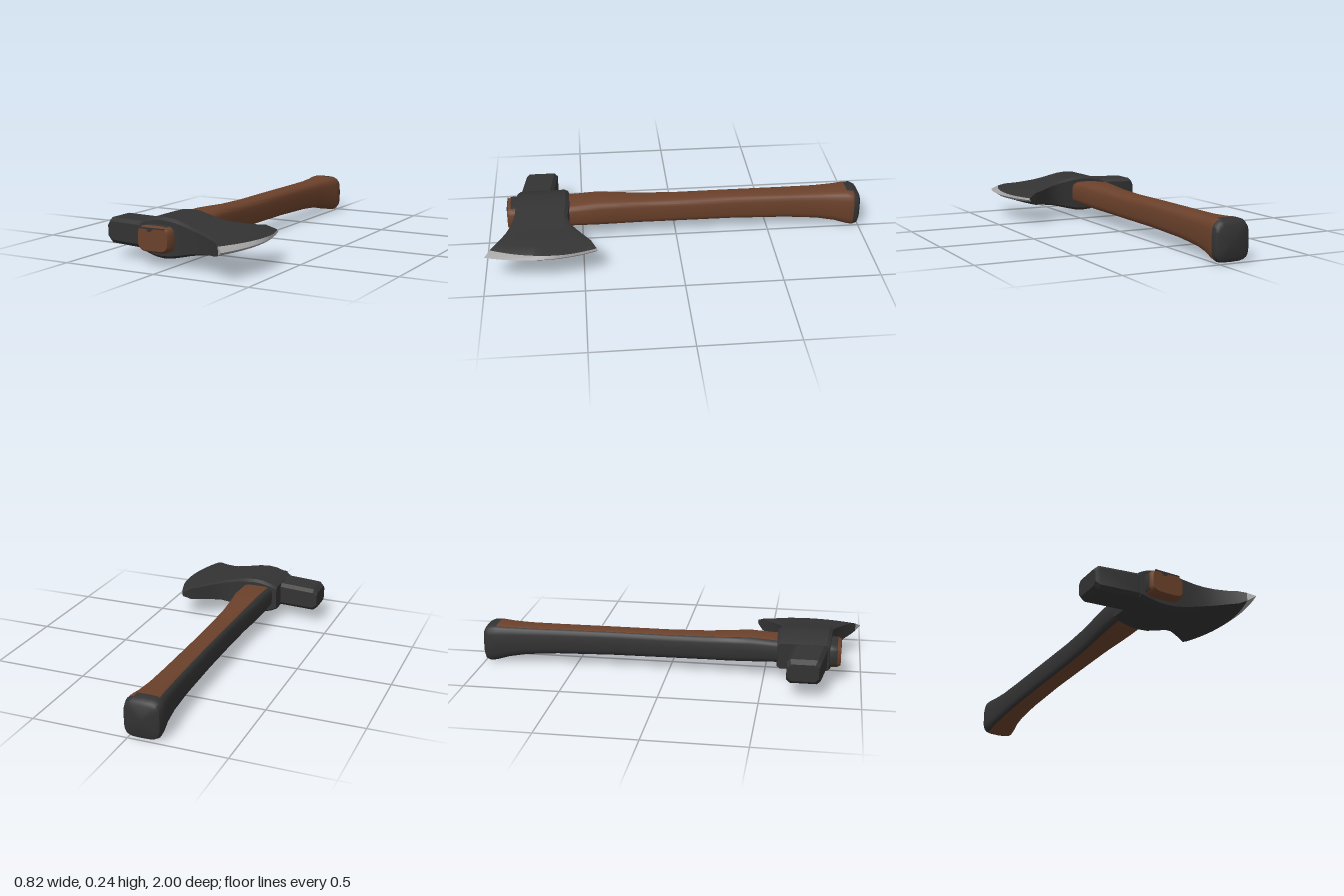
import * as THREE from 'three';
import { toCreasedNormals } from 'three/addons/utils/BufferGeometryUtils.js';

const wood = new THREE.MeshStandardMaterial({ color: 0x6b412b });
wood.name = 'brown wood';
const iron = new THREE.MeshStandardMaterial({ color: 0x333333 });
iron.name = 'dark iron';
const steel = new THREE.MeshStandardMaterial({ color: 0xa3a3a3 });
steel.name = 'bare steel';

// Skins closed rings of points; pick(row, column) gives the material of each face.
// Row -1 is the start cap, the last row is the end cap.
function loft(name, rings, materials, pick, crease, endCap = true) {
  const n = rings[0].length;
  const pts = rings.flat();
  const lists = materials.map(() => []);
  for (let i = 0; i < rings.length - 1; i++) {
    for (let j = 0; j < n; j++) {
      const a = i * n + j, b = i * n + ((j + 1) % n);
      lists[pick(i, j)].push(a, b, b + n, a, b + n, a + n);
    }
  }
  const cap = (row, start) => {
    const centre = new THREE.Vector3();
    rings[row].forEach((p) => centre.addScaledVector(p, 1 / n));
    const c = pts.push(centre) - 1;
    for (let j = 0; j < n; j++) {
      const a = row * n + j, b = row * n + ((j + 1) % n);
      lists[pick(start ? -1 : row, j)].push(c, start ? b : a, start ? a : b);
    }
  };
  cap(0, true);
  if (endCap) cap(rings.length - 1, false);

  const geo = new THREE.BufferGeometry().setFromPoints(pts);
  geo.setIndex(lists.flat());
  let offset = 0;
  lists.forEach((l, m) => {
    geo.addGroup(offset, l.length, m);
    offset += l.length;
  });
  const mesh = new THREE.Mesh(toCreasedNormals(geo, crease), materials);
  mesh.name = name;
  return mesh;
}

// Handle: rounded rectangles along z, dark on its -x side and at the butt
function makeHandle() {
  const SIDES = 24;
  // z, x min, x max, y min, y max
  const stations = [
    [-1.0, -0.145, 0.005, 0.03, 0.18],
    [-0.99, -0.16, 0.02, 0.01, 0.195],
    [-0.965, -0.167, 0.026, 0.002, 0.207],
    [-0.93, -0.164, 0.021, 0.008, 0.209],
    [-0.87, -0.154, 0.01, 0.026, 0.204],
    [-0.77, -0.145, 0, 0.043, 0.2],
    [-0.6, -0.14, -0.006, 0.056, 0.2],
    [-0.3, -0.137, -0.01, 0.064, 0.201],
    [0, -0.137, -0.008, 0.066, 0.2],
    [0.2, -0.143, -0.003, 0.069, 0.204],
    [0.32, -0.153, 0.006, 0.071, 0.211],
    [0.42, -0.16, 0.016, 0.075, 0.216],
    [0.55, -0.16, 0.02, 0.08, 0.207],
    [0.7, -0.166, 0.018, 0.075, 0.203],
    [0.84, -0.17, 0.018, 0.071, 0.203],
    [0.875, -0.169, 0.017, 0.072, 0.202],
    [0.893, -0.158, 0.006, 0.082, 0.193],
  ];
  const soft = (c) => Math.sign(c) * Math.sqrt(Math.abs(c));
  const rings = stations.map(([z, x0, x1, y0, y1]) =>
    Array.from({ length: SIDES }, (_, j) => {
      const a = (j / SIDES) * Math.PI * 2;
      return new THREE.Vector3(
        (x0 + x1) / 2 + ((x1 - x0) / 2) * soft(Math.cos(a)),
        (y0 + y1) / 2 + ((y1 - y0) / 2) * soft(Math.sin(a)), z);
    }));
  const pick = (i, j) => {
    if (i < 2) return 1; // butt
    if (i >= 14) return i === 14 && j >= 4 && j < 14 ? 1 : 0; // tip, dark on top
    if (i === 2 && j >= 5 && j < 8) return 1; // slanted butt edge
    return j >= 8 && j < 16 ? 1 : 0;
  };
  return loft('handle', rings, [wood, iron], pick, 0.7);
}

// Head: eye block swelling around the handle, flaring into the blade
function makeBlade() {
  const N = 16, MID = 0.138;
  // x, z min, z max, half thickness
  const stations = [
    [-0.185, 0.572, 0.833, 0.066],
    [-0.15, 0.567, 0.839, 0.082],
    [-0.1, 0.565, 0.842, 0.096],
    [-0.055, 0.565, 0.844, 0.1],
    [0, 0.565, 0.845, 0.095],
    [0.05, 0.572, 0.847, 0.084],
    [0.1, 0.577, 0.855, 0.071],
    [0.15, 0.565, 0.868, 0.06],
    [0.2, 0.532, 0.888, 0.051],
    [0.25, 0.495, 0.915, 0.043],
  ];
  const bow = (v) => 1 - (2 * v - 1) ** 2;
  const edgeX = (v) => 0.345 + 0.015 * v + 0.055 * bow(v);
  // f(v, side) -> [x, z, half thickness], side +1 on top and -1 below
  const ring = (f) => {
    const out = [];
    for (const side of [1, -1]) {
      for (let k = 0; k <= N; k++) {
        const v = side > 0 ? k / N : 1 - k / N;
        const [x, z, h] = f(v, side);
        out.push(new THREE.Vector3(x, MID + side * h, z));
      }
    }
    return out;
  };
  const lerp = THREE.MathUtils.lerp;
  const rings = stations.map(([x, z0, z1, h]) =>
    ring((v) => [x, lerp(z0, z1, v), h * (v === 0 || v === 1 ? 0.86 : 1)]));
  rings.push(ring((v) => [0.295 + 0.03 * bow(v), lerp(0.462, 0.943, v), 0.033]));
  // start of the sharpened bevel, wider towards the front tip
  rings.push(ring((v, side) => {
    const w = side > 0 ? 0.004 + 0.03 * Math.max(0, (v - 0.3) / 0.7) : 0.009 + 0.025 * v;
    return [edgeX(v) - w, lerp(0.434, 0.968, v), 0.01 + 0.011 * v];
  }));
  rings.push(ring((v) => [edgeX(v), lerp(0.43, 0.995, v), 0]));
  const last = rings.length - 2;
  return loft('axeBlade', rings, [iron, steel], (i) => (i === last ? 1 : 0), 0.5, false);
}

// Poll: chamfered hammer block behind the eye
function makePoll() {
  // x, z min, z max, y min, y max
  const stations = [
    [-0.408, 0.632, 0.788, 0.092, 0.18],
    [-0.385, 0.627, 0.798, 0.074, 0.2],
    [-0.19, 0.65, 0.824, 0.071, 0.202],
    [-0.12, 0.658, 0.832, 0.071, 0.202],
  ];
  const c = 0.018;
  const rings = stations.map(([x, z0, z1, y0, y1]) => [
    [y1, z0 + c], [y1, z1 - c], [y1 - c, z1], [y0 + c, z1],
    [y0, z1 - c], [y0, z0 + c], [y0 + c, z0], [y1 - c, z0],
  ].map(([y, z]) => new THREE.Vector3(x, y, z)));
  return loft('poll', rings, [iron], () => 0, 0.4);
}

// Dark notch on the handle's front end
function makeNotch() {
  const s = new THREE.Shape();
  [[-0.145, 0.193], [-0.145, 0.186], [-0.108, 0.186], [-0.102, 0.174], [-0.088, 0.172],
    [-0.077, 0.181], [-0.074, 0.187], [-0.01, 0.188], [-0.01, 0.193]]
    .forEach(([x, y], i) => (i ? s.lineTo(x, y) : s.moveTo(x, y)));
  const mesh = new THREE.Mesh(
    new THREE.ExtrudeGeometry(s, { depth: 0.006, bevelEnabled: false }), iron);
  mesh.position.z = 0.889;
  mesh.name = 'handleNotch';
  return mesh;
}

export function createModel() {
  const model = new THREE.Group();
  model.name = 'hatchet';
  model.add(makeHandle(), makeBlade(), makePoll(), makeNotch());
  return model;
}
